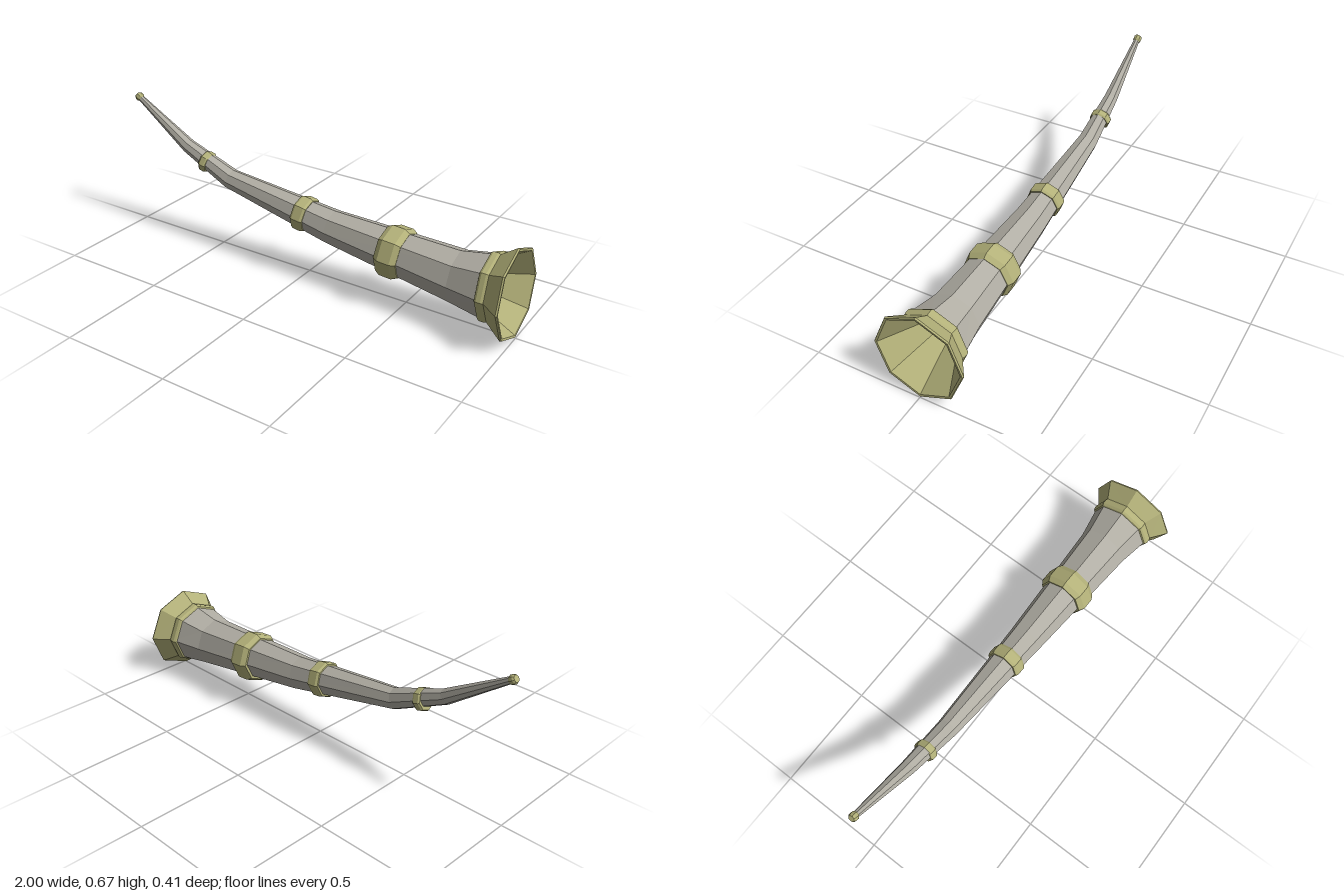
import * as THREE from 'three';

const SIDES = 8;

function material(color) {
  return new THREE.MeshStandardMaterial({ color, flatShading: true, side: THREE.DoubleSide });
}

// Octagonal loft: each station is [x, y, radius, tilt], swept in order.
function loft(name, stations, mat) {
  const profile = stations.map((s, i) => new THREE.Vector2(s[2], i));
  const geometry = new THREE.LatheGeometry(profile, SIDES);
  const p = geometry.attributes.position;
  for (let i = 0; i < p.count; i++) {
    const [cx, cy, , tilt] = stations[Math.round(p.getY(i))];
    const up = -p.getX(i);
    p.setXYZ(i, cx - Math.sin(tilt) * up, cy + Math.cos(tilt) * up, p.getZ(i));
  }
  geometry.computeVertexNormals();
  const mesh = new THREE.Mesh(geometry, mat);
  mesh.name = name;
  return mesh;
}

// Bevelled band around the horn, its edges resting on the body.
function band(name, x, y, tilt, radius, edgeRadius, halfFlat, halfWidth, mat) {
  const at = (t, r) => [x + t * Math.cos(tilt), y + t * Math.sin(tilt), r, tilt];
  return loft(name, [
    at(-halfWidth, 0), at(-halfWidth, edgeRadius), at(-halfFlat, radius),
    at(halfFlat, radius), at(halfWidth, edgeRadius), at(halfWidth, 0),
  ], mat);
}

export function createModel() {
  const group = new THREE.Group();
  group.name = 'horn';
  const bone = material(0xb2afa5);
  const brass = material(0xb4b27a);

  // Curved, tapering body from tip to bell
  group.add(loft('body', [
    [-0.985, 0.649, 0.014, -0.57],
    [-0.69, 0.459, 0.034, -0.49],
    [-0.44, 0.351, 0.048, -0.3],
    [0.12, 0.26, 0.079, -0.13],
    [0.73, 0.206, 0.117, -0.03],
    [0.89, 0.207, 0.145, 0.03],
  ], bone));

  // Metal bands
  group.add(band('tipBand', -0.984, 0.648, -0.57, 0.02, 0.015, 0.007, 0.015, brass));
  group.add(band('upperBand', -0.58, 0.404, -0.27, 0.051, 0.046, 0.012, 0.019, brass));
  group.add(band('middleBand', -0.025, 0.283, -0.14, 0.083, 0.077, 0.02, 0.031, brass));
  group.add(band('lowerBand', 0.441, 0.229, -0.07, 0.12, 0.106, 0.029, 0.053, brass));

  // Bell: collar, flare, rim lip and hollow mouth ending in a small flat floor
  group.add(loft('bell', [
    [0.865, 0.207, 0.14, 0.03],
    [0.868, 0.207, 0.148, 0.03],
    [0.878, 0.207, 0.154, 0.03],
    [0.897, 0.207, 0.154, 0.03],
    [0.908, 0.207, 0.15, 0.03],
    [0.982, 0.203, 0.203, 0.045],
    [0.989, 0.203, 0.2, 0.045],
    [0.988, 0.203, 0.19, 0.045],
    [0.77, 0.202, 0.066, 0.03],
    [0.77, 0.202, 0, 0.03],
  ], brass));

  return group;
}
